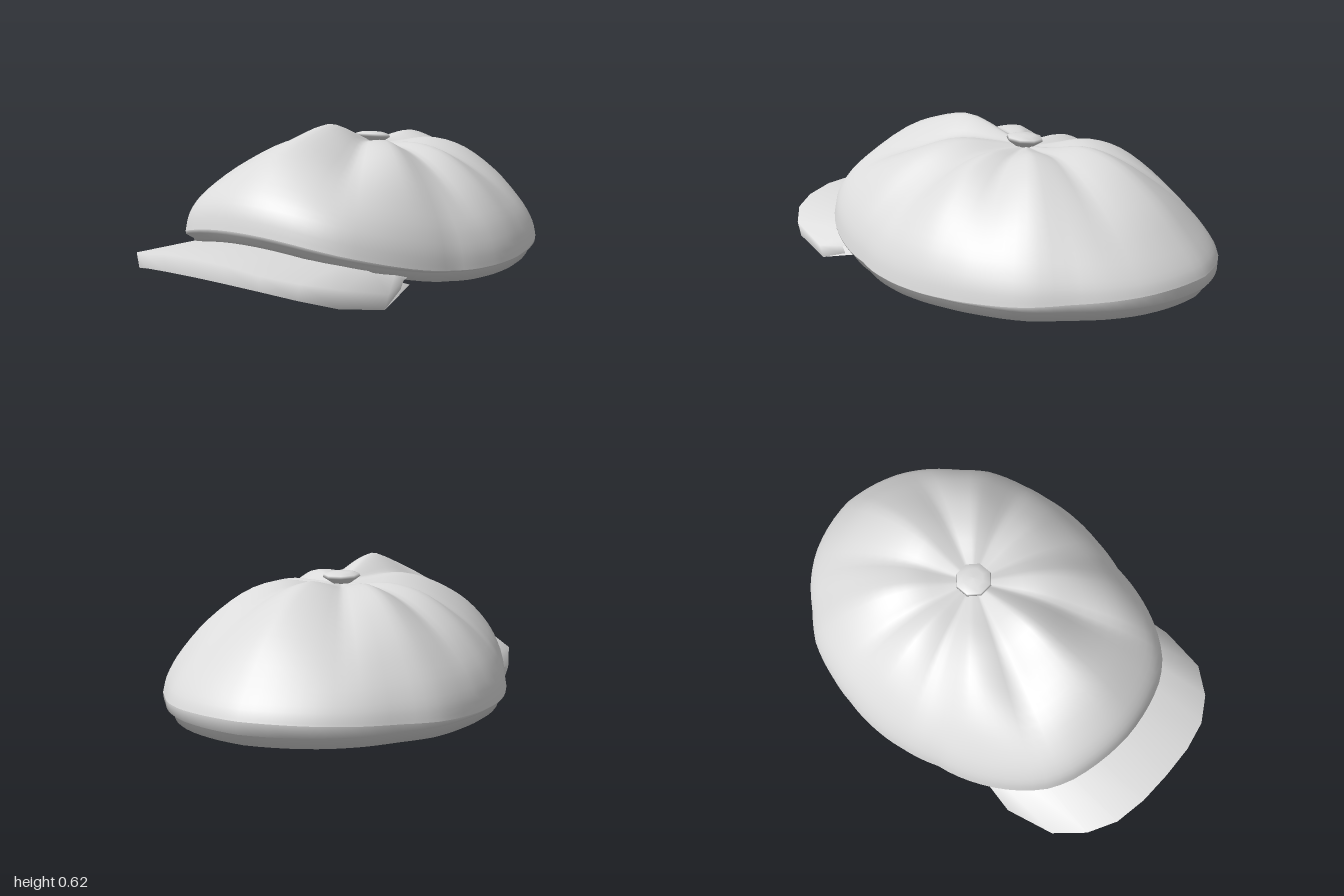
import * as THREE from 'three';

const CZ = -0.14; // the panels meet at this z

// Surface from a rows x cols grid of points, with optional wrap across columns
function grid(rows, cols, wrap, fn) {
  const pos = [], index = [];
  for (let i = 0; i < rows; i++) for (let j = 0; j < cols; j++) pos.push(...fn(i, j));
  for (let i = 0; i < rows - 1; i++) {
    for (let j = 0; j < (wrap ? cols : cols - 1); j++) {
      const k = (j + 1) % cols;
      const a = i * cols + j, b = a + cols, c = k + (i + 1) * cols, d = i * cols + k;
      index.push(a, b, c, a, c, d);
    }
  }
  const geo = new THREE.BufferGeometry();
  geo.setAttribute('position', new THREE.Float32BufferAttribute(pos, 3));
  geo.setIndex(index);
  geo.computeVertexNormals();
  return geo;
}

// Half of the crown outline seen from above, front to back: [x, z] as [angle, radius]
const outline = [[0, 0.765], [0.15, 0.75], [0.31, 0.705], [0.4, 0.65], [0.49, 0.55], [0.575, 0.4],
  [0.63, 0.22], [0.68, 0.05], [0.7, -0.1], [0.69, -0.27], [0.66, -0.43], [0.6, -0.6],
  [0.5, -0.725], [0.4, -0.84], [0.29, -0.92], [0.15, -0.975], [0, -1]]
  .map(([x, z]) => [Math.atan2(x, z - CZ), Math.hypot(x, z - CZ)]);

function radius(theta) {
  const t = Math.abs(Math.atan2(Math.sin(theta), Math.cos(theta)));
  let i = 0;
  while (i < outline.length - 2 && outline[i + 1][0] < t) i++;
  const [t0, r0] = outline[i], [t1, r1] = outline[i + 1];
  return r0 + (r1 - r0) * (t - t0) / (t1 - t0);
}

// Height profiles from the button out to the widest edge
const S = [0, 0.15, 0.35, 0.55, 0.75, 0.9, 0.975, 1];
const curve = (ys) => new THREE.SplineCurve(S.map((s, i) => new THREE.Vector2(s, ys[i])));
const front = curve([0.515, 0.565, 0.62, 0.59, 0.525, 0.42, 0.335, 0.25]);
const side = curve([0.515, 0.523, 0.527, 0.485, 0.38, 0.255, 0.15, 0.07]);
const back = curve([0.515, 0.525, 0.553, 0.505, 0.385, 0.25, 0.17, 0.125]);
const crease = curve([0, 0.022, 0.07, 0.1, 0.07, 0.022, 0.004, 0]);

// Blend front, side and back values around the crown
function blend(theta, f, s, b) {
  const c = Math.cos(theta), w = Math.abs(c) ** (c > 0 ? 3.6 : 2);
  return s + ((c > 0 ? f : b) - s) * w;
}

const COLS = 96, RINGS = 24;
const angle = (j) => (j / COLS) * Math.PI * 2;
const polar = (theta, s, y) => {
  const r = radius(theta) * s;
  return [Math.sin(theta) * r, y, CZ + Math.cos(theta) * r];
};

// Eight puffed panels with a valley at each seam, deepest at the front
function crownPoint(i, j) {
  const theta = angle(j), u = i / (RINGS - 1);
  const p = front.getPoint(u);
  const phase = 8 * theta - 0.5 * Math.sin(2 * theta);
  const valley = (Math.acos(Math.cos(phase)) / Math.PI) ** 1.3 * blend(theta, 1, 0.4, 0.55);
  const y = blend(theta, p.y, side.getPoint(u).y, back.getPoint(u).y) - crease.getPoint(u).y * valley;
  return polar(theta, p.x, y);
}

// Rim tucked under the crown with a low band: [scale, front y, side y, back y]
const rim = [[1, 0.25, 0.07, 0.125], [0.998, 0.235, 0.066, 0.078], [0.962, 0.205, 0.06, 0.07],
  [0.955, 0.195, 0.02, 0.03], [0.88, 0.185, 0.035, 0.042]];

function rimPoint(i, j) {
  const [s, f, sd, b] = rim[i];
  return polar(angle(j), s, blend(angle(j), f, sd, b));
}

// Visor half sections from the middle out: outer x, z, top, bottom, then inner x, z, top, bottom
const visorHalf = [
  [0, 0.995, 0.195, 0.128, 0, 0.69, 0.185, 0.15],
  [0.15, 0.99, 0.19, 0.125, 0.15, 0.68, 0.18, 0.147],
  [0.29, 0.965, 0.168, 0.113, 0.28, 0.645, 0.165, 0.135],
  [0.41, 0.9, 0.145, 0.085, 0.37, 0.59, 0.148, 0.115],
  [0.51, 0.79, 0.115, 0.045, 0.44, 0.52, 0.125, 0.09],
  [0.56, 0.58, 0.06, 0.0, 0.5, 0.44, 0.105, 0.07],
  [0.54, 0.45, 0.08, 0.035, 0.53, 0.39, 0.085, 0.05],
];
const VISOR_COLS = visorHalf.length * 2 - 1;

function visorPoint(i, j) {
  const k = j - (visorHalf.length - 1), m = Math.sign(k);
  const [ox, oz, ot, ob, ix, iz, it, ib] = visorHalf[Math.abs(k)];
  return [
    [ix * m, it + 0.025, iz - 0.01], // lip into the crown
    [ix * m, it, iz],
    [ox * m, ot, oz],
    [ox * m * 0.97, ob, oz],
    [ix * m, ib, iz],
  ][i];
}

export function createModel() {
  const cap = new THREE.Group();
  cap.name = 'flatCap';
  const cloth = new THREE.MeshStandardMaterial({ color: 0xdbdbdb, side: THREE.DoubleSide });
  cloth.name = 'light grey cloth';
  const add = (name, geo) => {
    const mesh = new THREE.Mesh(geo, cloth);
    mesh.name = name;
    cap.add(mesh);
    return mesh;
  };

  add('crown', grid(RINGS, COLS, true, crownPoint));
  add('rim', grid(rim.length, COLS, true, rimPoint));

  // Visor top with its rounded outer edge, and the underside
  add('visor', grid(4, VISOR_COLS, false, visorPoint));
  add('visorUnderside', grid(2, VISOR_COLS, false, (i, j) => visorPoint(i + 3, j)));

  // Eight-sided covered button
  const profile = [[0, -0.045], [0.04, -0.035], [0.08, -0.008], [0.076, 0.004], [0.045, 0.013], [0, 0.016]]
    .map(([x, y]) => new THREE.Vector2(x, y));
  const button = add('button', new THREE.LatheGeometry(profile, 8));
  button.position.set(0, 0.552, -0.135);
  button.rotation.set(-0.08, Math.PI / 8, 0);

  return cap;
}
